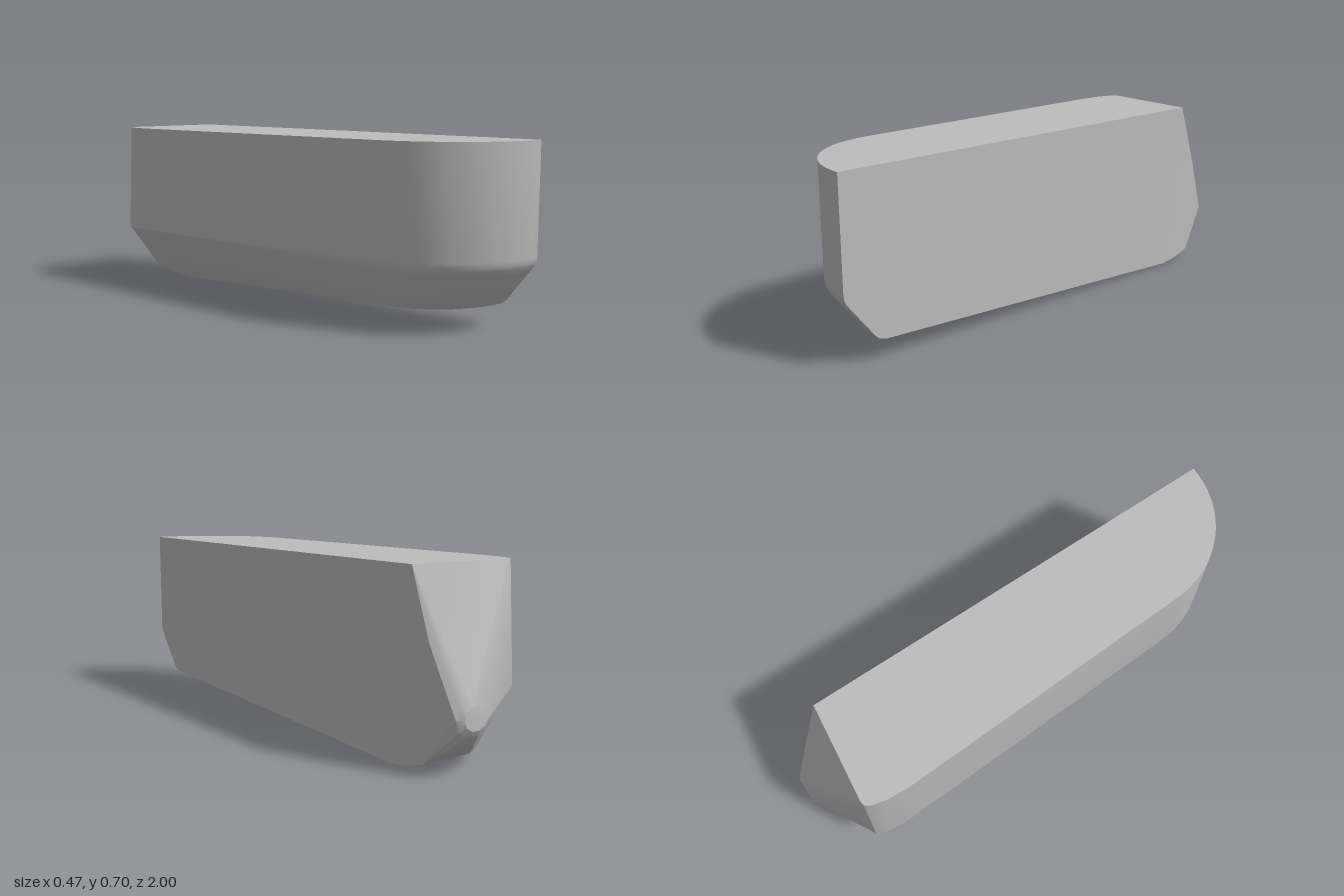
import * as THREE from 'three';
import { ConvexGeometry } from 'three/addons/geometries/ConvexGeometry.js';
import { toCreasedNormals } from 'three/addons/utils/BufferGeometryUtils.js';

const TOP = 0.705, FLAT = 0.23;

export function createModel() {
  const group = new THREE.Group();
  group.name = 'halfHull';
  const grey = new THREE.MeshStandardMaterial({ color: 0xbcbcbc });
  grey.name = 'plain grey';

  const points = [];
  const add = (x, y, z) => points.push(new THREE.Vector3(x, y, z));

  // Rounded chamfer: how far inward, how far up
  const chamfer = [[0, 1], [0.02, 0.9], [0.06, 0.83], [0.15, 0.73], [0.72, 0.11], [0.82, 0.04], [1, 0]];
  // One rib: vertical wall from the top, then the chamfer down to the bottom
  const rib = (ox, oz, ix, iz, knee, bottom) => {
    add(ox, TOP, oz);
    for (const [f, h] of chamfer) add(ox + (ix - ox) * f, bottom + (knee - bottom) * h, oz + (iz - oz) * f);
  };

  // Quarter-round front end
  const steps = 16;
  for (let i = 0; i <= steps; i++) {
    const a = (i / steps) * Math.PI / 2;
    const c = Math.cos(a), s = Math.sin(a);
    const iz = 0.58 + 0.25 * c;
    rib(FLAT - 0.42 * s, 0.58 + 0.42 * c, FLAT - 0.25 * s, iz, 0.28, 0.08 - (0.83 - iz) * 0.0517);
  }

  // Long side, widest near the back
  rib(-0.235, -0.66, 0, -0.64, 0.3, 0.004);

  // Rounded back corner, top then knee height
  for (const [x, z] of [[-0.23, -0.75], [-0.215, -0.81], [-0.2, -0.832], [-0.18, -0.835]]) add(x, TOP, z);
  for (const [x, z] of [[-0.23, -0.74], [-0.218, -0.82], [-0.2, -0.858], [-0.18, -0.868]]) add(x, 0.25, z);

  // Bottom curving up towards the back
  for (const x of [0.01, FLAT]) {
    add(x, 0, -0.7);
    add(x, 0.01, -0.78);
    add(x, 0.035, -0.86);
  }
  add(-0.05, 0.04, -0.83);

  // Back edge of the flat side
  add(FLAT, TOP, -0.79);
  add(FLAT, 0.45, -0.88);
  add(FLAT, 0.25, -0.885);
  add(FLAT, 0.06, -0.87);

  // Blunt rounded tip
  for (const [rx, ry, z] of [[0.055, 0.045, -1], [0.08, 0.07, -0.985]]) {
    for (let i = 0; i < 10; i++) {
      const a = (i / 10) * Math.PI * 2;
      add(0.125 + rx * Math.cos(a), 0.207 + ry * Math.sin(a), z);
    }
  }

  const body = new THREE.Mesh(toCreasedNormals(new ConvexGeometry(points), 0.42), grey);
  body.name = 'body';
  group.add(body);
  return group;
}
